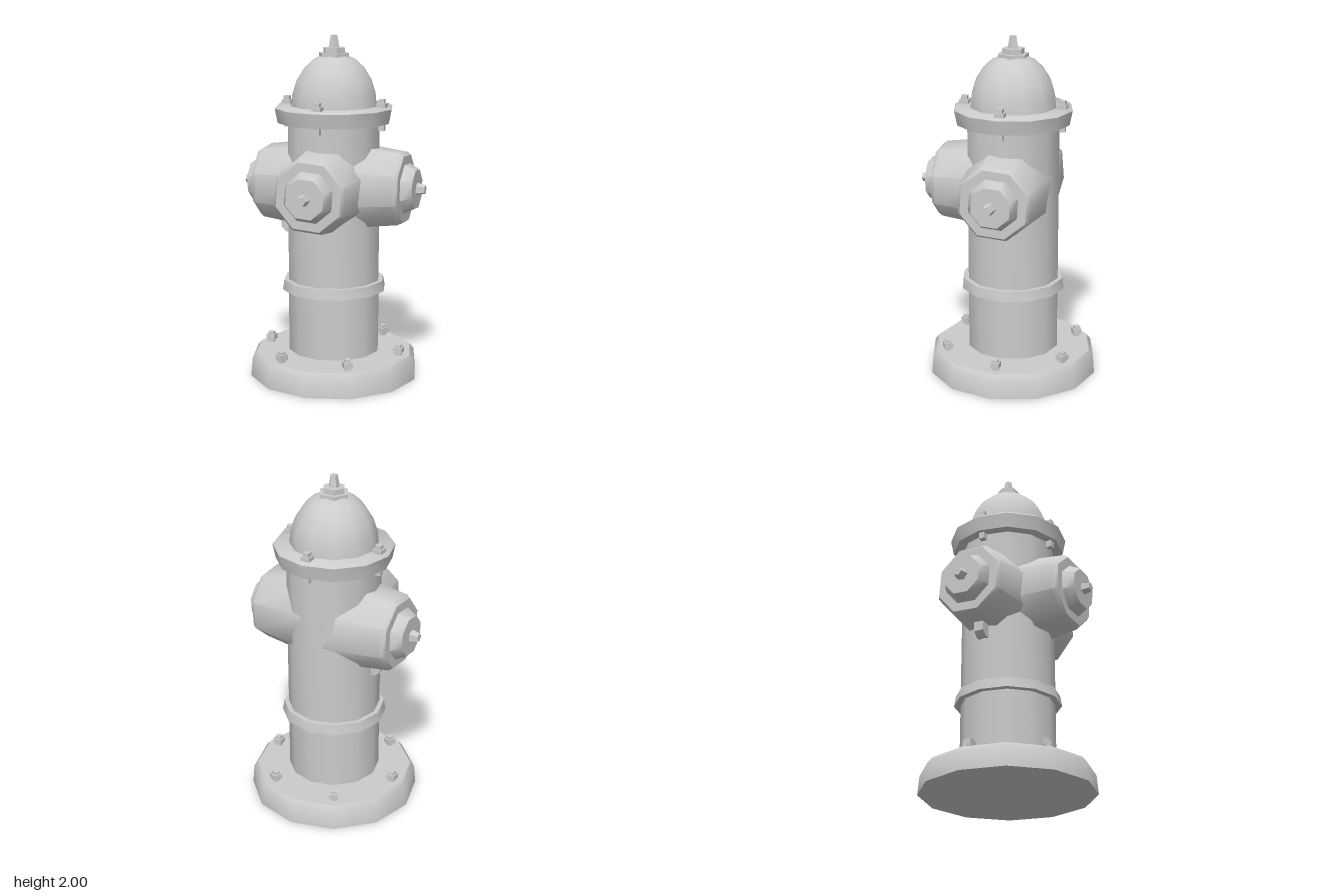
import * as THREE from 'three';
import { toCreasedNormals } from 'three/addons/utils/BufferGeometryUtils.js';

const material = new THREE.MeshStandardMaterial({ color: 0xcccccc });

// Faceted turned part: profile of [radius, height] from bottom to top
function turned(name, profile, sides, phiStart = 0, crease = 0.87) {
  const points = profile.map(([r, y]) => new THREE.Vector2(r, y));
  const geometry = new THREE.LatheGeometry(points, sides, phiStart);
  const mesh = new THREE.Mesh(toCreasedNormals(geometry, crease), material);
  mesh.name = name;
  return mesh;
}

// Square block standing between two heights
function block(name, width, y0, y1) {
  const mesh = new THREE.Mesh(new THREE.BoxGeometry(width, y1 - y0, width), material);
  mesh.position.y = (y0 + y1) / 2;
  mesh.name = name;
  return mesh;
}

// Bolts spaced around the axis, each made from [name, width, y0, y1] blocks
function boltCircle(name, count, radius, blocks) {
  const ring = new THREE.Group();
  ring.name = name;
  for (let i = 0; i < count; i++) {
    const bolt = new THREE.Group();
    bolt.name = 'bolt';
    const angle = Math.PI / 2 + (i * Math.PI * 2) / count;
    bolt.position.set(Math.sin(angle) * radius, 0, Math.cos(angle) * radius);
    bolt.rotation.y = angle;
    blocks.forEach((b) => bolt.add(block(...b)));
    ring.add(bolt);
  }
  return ring;
}

// Octagonal outlet with a cap and an operating nut, pointing away from the axis
function outlet(name, angle) {
  const phi = Math.PI / 8 - 0.08;
  const arm = new THREE.Group();
  arm.name = name;
  arm.add(
    turned('outletBarrel', [[0, 0.06], [0.266, 0.06], [0.22, 0.415], [0.203, 0.437], [0, 0.437]], 8, phi),
    turned('outletCap', [[0.15, 0.43], [0.15, 0.44], [0.118, 0.5], [0, 0.5]], 8, phi),
    turned('outletNut', [[0.039, 0.49], [0.026, 0.548], [0, 0.548]], 5, 0.3, 0.5),
  );
  arm.rotation.set(Math.PI / 2, angle, 0, 'YXZ');
  arm.position.y = 1.14;
  return arm;
}

export function createModel() {
  const model = new THREE.Group();
  model.name = 'hydrant';
  const axis = new THREE.Group();
  axis.name = 'hydrantBody';
  axis.position.z = -0.023;
  model.add(axis);

  // Base plate, barrel, band and upper flange
  axis.add(
    turned('basePlate', [[0, 0], [0.5, 0], [0.49, 0.11], [0.465, 0.14], [0, 0.14]], 12),
    turned('barrel', [[0, 0.15], [0.27, 0.15], [0.27, 1.52], [0, 1.52]], 12),
    turned('band', [[0.26, 0.52], [0.307, 0.52], [0.297, 0.58], [0.26, 0.58]], 12),
    turned('flange', [[0, 1.505], [0.328, 1.505], [0.345, 1.588], [0.334, 1.6], [0, 1.6]], 12),
  );

  // Bonnet with stacked hexagonal nut and tapered stem
  axis.add(
    turned('bonnet', [[0.25, 1.6], [0.244, 1.665], [0.219, 1.745], [0.175, 1.815],
      [0.125, 1.862], [0.075, 1.885], [0, 1.89]], 12),
    turned('bonnetNut', [[0, 1.87], [0.09, 1.87], [0.09, 1.9], [0, 1.9]], 6, Math.PI / 2, 0.5),
    turned('bonnetCollar', [[0.065, 1.9], [0.065, 1.93], [0, 1.93]], 6, Math.PI / 2, 0.5),
    turned('bonnetStem', [[0.033, 1.93], [0.02, 2], [0, 2]], 5, 0.3, 0.5),
  );

  // Three outlets
  axis.add(
    outlet('frontOutlet', 0),
    outlet('leftOutlet', Math.PI / 2),
    outlet('rightOutlet', -Math.PI / 2),
  );

  // Bolts through the base and the flange
  axis.add(
    boltCircle('baseBolts', 6, 0.4, [['nut', 0.052, 0.155, 0.188], ['stud', 0.034, 0.13, 0.203]]),
    boltCircle('flangeBolts', 4, 0.287, [['nut', 0.054, 1.595, 1.622], ['stud', 0.034, 1.465, 1.645]]),
  );

  // Small bracket with a chamfered lower corner, under the right outlet
  const outline = new THREE.Shape([[-0.24, 0.84], [-0.29, 0.84], [-0.32, 0.87], [-0.32, 0.96], [-0.24, 0.96]]
    .map(([x, y]) => new THREE.Vector2(x, y)));
  const bracket = new THREE.Mesh(
    new THREE.ExtrudeGeometry(outline, { depth: 0.06, bevelEnabled: false }), material);
  bracket.position.z = -0.03;
  bracket.name = 'bracket';
  axis.add(bracket);

  return model;
}
